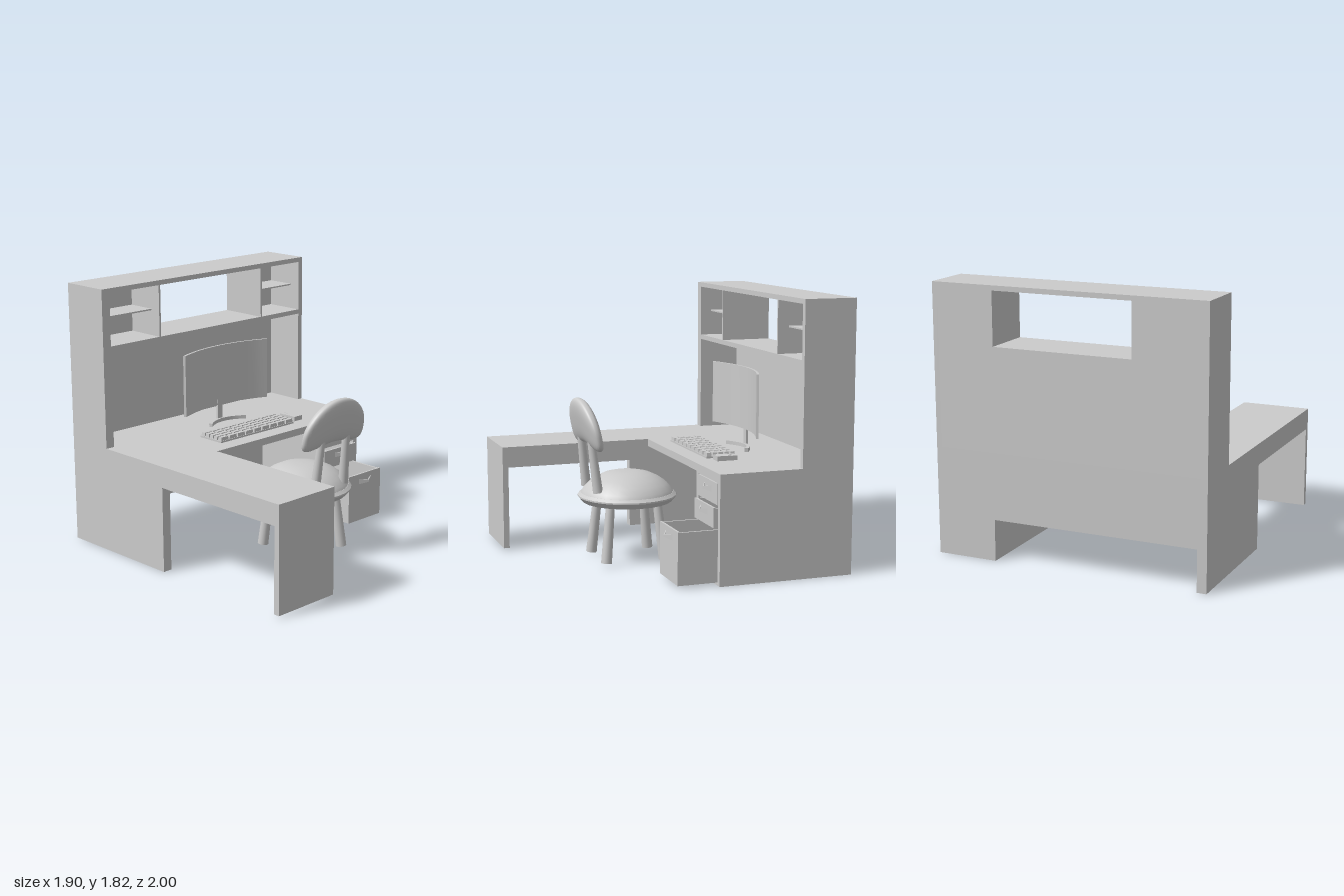
import * as THREE from 'three';
import { toCreasedNormals } from 'three/addons/utils/BufferGeometryUtils.js';

const grey = new THREE.MeshStandardMaterial({ color: 0xcccccc, side: THREE.DoubleSide });

function add(parent, name, geometry) {
  const mesh = new THREE.Mesh(geometry, grey);
  mesh.name = name;
  parent.add(mesh);
  return mesh;
}

function group(parent, name) {
  const g = new THREE.Group();
  g.name = name;
  parent.add(g);
  return g;
}

// Box given by its limits on each axis
function box(parent, name, x0, x1, y0, y1, z0, z1) {
  const g = new THREE.BoxGeometry(x1 - x0, y1 - y0, z1 - z0);
  g.translate((x0 + x1) / 2, (y0 + y1) / 2, (z0 + z1) / 2);
  return add(parent, name, g);
}

// Plan outline of [x, z] points raised from y0 to y1
function plan(points, y0, y1) {
  const shape = new THREE.Shape(points.map(([x, z]) => new THREE.Vector2(x, -z)));
  const g = new THREE.ExtrudeGeometry(shape, { depth: y1 - y0, bevelEnabled: false });
  return g.rotateX(-Math.PI / 2).translate(0, y0, 0);
}

// Bar bowed in plan, with both ends coming forward
function bowedBar(cx, half, z, sag, thick, y0, y1) {
  const back = [], front = [];
  for (let i = 0; i <= 16; i++) {
    const t = i / 8 - 1;
    back.push([cx + half * t, z + sag * t * t]);
    front.unshift([cx + (half - 0.008) * t, z + thick + sag * t * t]);
  }
  return toCreasedNormals(plan([...back, ...front], y0, y1), 0.5);
}

// Round tapered rod between two points
function rod(parent, name, a, b, ra, rb) {
  const from = new THREE.Vector3(...a), to = new THREE.Vector3(...b);
  const dir = to.clone().sub(from);
  const mesh = add(parent, name, new THREE.CylinderGeometry(rb, ra, dir.length(), 16));
  mesh.position.copy(from).add(to).multiplyScalar(0.5);
  mesh.quaternion.setFromUnitVectors(new THREE.Vector3(0, 1, 0), dir.normalize());
}

function buildDesk(root) {
  const desk = group(root, 'desk');
  box(desk, 'deskTop', -0.95, 0.95, 0.68, 0.73, -1, -0.07);
  box(desk, 'sidePanel', -0.95, -0.885, 0, 0.68, -1, -0.07);
  box(desk, 'kneePanel', -0.885, 0.53, 0.28, 0.68, -1, -0.64);
  box(desk, 'wingTop', -0.95, -0.46, 0.585, 0.73, -0.07, 1);
  box(desk, 'wingLeg', -0.95, -0.46, 0.01, 0.585, 0.96, 1);

  // Hutch: outer walls, boards, backs around the window
  const hutch = group(desk, 'hutch');
  const b = -1, f = -0.64, inner = -0.93;
  box(hutch, 'hutchSide', -0.95, -0.885, 0.73, 1.82, b, f);
  box(hutch, 'hutchSide', 0.912, 0.95, 0.73, 1.82, b, f);
  box(hutch, 'hutchTop', -0.885, 0.912, 1.787, 1.82, b, f);
  box(hutch, 'hutchBoard', -0.885, 0.912, 1.395, 1.428, b, f);
  box(hutch, 'hutchBack', -0.885, 0.912, 0.73, 1.395, b, inner);
  for (const [x0, x1, p0, p1] of [[-0.885, -0.458, -0.458, -0.444], [0.53, 0.912, 0.516, 0.53]]) {
    box(hutch, 'partition', p0, p1, 1.428, 1.787, b, f);
    box(hutch, 'compartmentBack', x0, x1, 1.428, 1.787, b, inner);
    box(hutch, 'compartmentShelf', x0, x1, 1.603, 1.613, inner, -0.72);
  }
}

// Pull that is tall at its ends and thin at its projecting middle
function drawerHandle(parent, y, z) {
  const g = plan([[-0.065, 0], [-0.055, 0], [0, 0.024], [0.055, 0], [0.065, 0], [0, 0.036]], -0.02, 0.02);
  const p = g.attributes.position;
  for (let i = 0; i < p.count; i++) p.setY(i, p.getY(i) * (0.4 + 0.6 * Math.abs(p.getX(i)) / 0.065));
  g.computeVertexNormals();
  add(parent, 'drawerHandle', g).position.set(0.745, y, z);
}

function buildDrawers(root) {
  const cabinet = group(root, 'drawerCabinet');
  const frame = new THREE.Shape([[0.53, 0], [0.95, 0], [0.95, 0.68], [0.53, 0.68]].map(q => new THREE.Vector2(...q)));
  frame.holes.push(new THREE.Path([[0.567, 0.014], [0.567, 0.668], [0.914, 0.668], [0.914, 0.014]].map(q => new THREE.Vector2(...q))));
  const g = new THREE.ExtrudeGeometry(frame, { depth: 0.9, bevelEnabled: false });
  add(cabinet, 'cabinetFrame', g.translate(0, 0, -0.97));
  box(cabinet, 'cabinetBack', 0.53, 0.95, 0, 0.68, -1, -0.97);

  // Open-topped drawers: bottom, front height, front z, handle height
  for (const [y0, y1, z, hy] of [[0.02, 0.37, 0.2, 0.315], [0.378, 0.51, -0.04, 0.466], [0.525, 0.665, -0.066, 0.613]]) {
    const d = group(cabinet, 'drawer');
    const x0 = 0.572, x1 = 0.91, back = z - 0.6, t = 0.014;
    box(d, 'drawerFront', x0, x1, y0, y1, z - t, z);
    box(d, 'drawerBack', x0, x1, y0, y1 - 0.005, back, back + t);
    box(d, 'drawerBottom', x0, x1, y0, y0 + t, back, z - t);
    for (const x of [x0, x1 - t]) box(d, 'drawerSide', x, x + t, y0, y1 - 0.005, back, z - t);
    drawerHandle(d, hy, z);
  }
}

function buildEquipment(root) {
  const monitor = group(root, 'monitor');
  add(monitor, 'screen', bowedBar(0.065, 0.405, -0.62, 0.085, 0.015, 0.855, 1.29));
  add(monitor, 'standFoot', bowedBar(0.085, 0.175, -0.615, 0.065, 0.024, 0.73, 0.755));
  box(monitor, 'standNeck', 0.045, 0.09, 0.73, 0.9, -0.62, -0.604);

  // Keyboard with tapered keys
  const keyboard = group(root, 'keyboard');
  box(keyboard, 'keyboardBase', -0.31, 0.4, 0.73, 0.742, -0.4, -0.19);
  const w = 0.71 / 9, d = 0.21 / 5;
  for (let c = 0; c < 9; c++) for (let r = 0; r < 5; r++) {
    const key = new THREE.CylinderGeometry(0.64, 0.707, 1, 4, 1).rotateY(Math.PI / 4).toNonIndexed();
    key.computeVertexNormals();
    key.scale(w - 0.01, 0.024, d - 0.009);
    add(keyboard, 'key', key).position.set(-0.31 + w * (c + 0.5), 0.754, -0.4 + d * (r + 0.5));
  }

  const mouse = group(root, 'mouse');
  box(mouse, 'mouseBody', 0.442, 0.52, 0.73, 0.763, -0.32, -0.22);
  box(mouse, 'mouseButton', 0.442, 0.479, 0.73, 0.761, -0.365, -0.322);
  box(mouse, 'mouseButton', 0.483, 0.52, 0.73, 0.761, -0.365, -0.322);
}

function buildChair(root) {
  const chair = group(root, 'chair');
  chair.position.set(0.035, 0, 0.25);

  // Flared rim with a domed cushion
  const rim = [[0, 0.405], [0.305, 0.405], [0.338, 0.442], [0.338, 0.452], [0.318, 0.47], [0, 0.47]];
  const dome = [[0.318, 0.465], [0.305, 0.492], [0.27, 0.53], [0.22, 0.565], [0.16, 0.593], [0.1, 0.607], [0.05, 0.611], [0, 0.612]];
  const lathe = pts => new THREE.LatheGeometry(pts.map(q => new THREE.Vector2(...q)), 24);
  add(chair, 'seatRim', toCreasedNormals(lathe(rim), 0.5));
  add(chair, 'seatCushion', lathe(dome));

  for (const s of [-1, 1]) {
    for (const z of [-1, 1]) rod(chair, 'chairLeg', [s * 0.177, 0.02, z * 0.205], [s * 0.147, 0.42, z * 0.165], 0.037, 0.03);
    rod(chair, 'backSupport', [s * 0.14, 0.5, 0.25], [s * 0.12, 0.86, 0.29], 0.034, 0.026);
  }

  // Bean-shaped padded backrest, drooping at the ends and leaning back
  const g = new THREE.SphereGeometry(1, 40, 28);
  const p = g.attributes.position;
  for (let i = 0; i < p.count; i++) {
    let x = p.getX(i), y = p.getY(i), z = p.getZ(i);
    const k = 1 / Math.pow(Math.abs(x) ** 2.7 + Math.abs(y) ** 2.7 + Math.abs(z) ** 2.7, 1 / 2.7);
    x *= k * 0.288;
    y = y * k * 0.153 + 0.972 - 1.2 * x * x;
    z = z * k * 0.05 + 0.298 + 0.22 * (y - 0.95);
    p.setXYZ(i, x, y, z);
  }
  g.computeVertexNormals();
  add(chair, 'backrest', g);
}

export function createModel() {
  const root = new THREE.Group();
  root.name = 'workstation';
  buildDesk(root);
  buildDrawers(root);
  buildEquipment(root);
  buildChair(root);
  return root;
}
